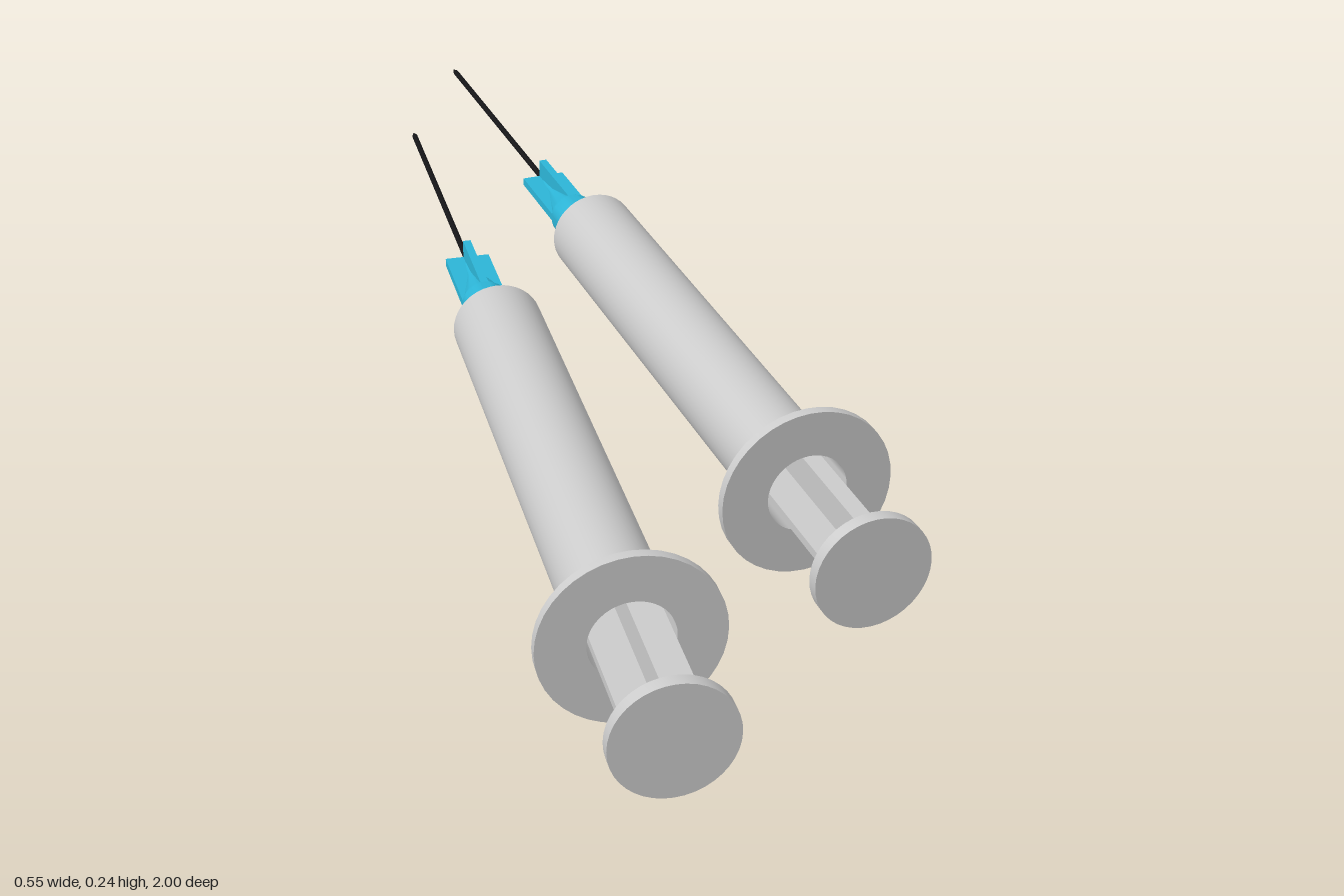
import * as THREE from 'three';
import { toCreasedNormals } from 'three/addons/utils/BufferGeometryUtils.js';

const plastic = new THREE.MeshStandardMaterial({ color: 0xcacaca });
plastic.name = 'grey plastic';
const hubBlue = new THREE.MeshStandardMaterial({ color: 0x2cb4d6 });
hubBlue.name = 'blue plastic';
const steel = new THREE.MeshStandardMaterial({ color: 0x141416 });
steel.name = 'dark steel';

function add(parent, name, geometry, material) {
  const mesh = new THREE.Mesh(geometry, material);
  mesh.name = name;
  parent.add(mesh);
  return mesh;
}

// Turned part along z; profile points are [radius, z], outer side running towards +z
function turned(points, segments = 40) {
  const g = new THREE.LatheGeometry(points.map(([r, z]) => new THREE.Vector2(r, z)), segments);
  g.rotateX(Math.PI / 2);
  return toCreasedNormals(g, 0.5);
}

// Box centred on the axis, spanning z0 to z1
function bar(w, h, z0, z1) {
  return new THREE.BoxGeometry(w, h, z1 - z0).translate(0, 0, (z0 + z1) / 2);
}

function createSyringe(name) {
  const syringe = new THREE.Group();
  syringe.name = name;

  // Hollow barrel with finger flange, open at the plunger end
  add(syringe, 'barrel', turned([
    [0, -0.02], [0.062, -0.02], [0.066, -0.015], [0.066, 0.785], [0.122, 0.785],
    [0.122, 0.799], [0.057, 0.799], [0.057, 0], [0, 0],
  ]), plastic);

  // Plunger: crossed ribs, thumb disc and piston
  const plunger = new THREE.Group();
  plunger.name = 'plunger';
  syringe.add(plunger);
  add(plunger, 'ribHorizontal', bar(0.104, 0.012, 0.06, 0.985), plastic);
  add(plunger, 'ribVertical', bar(0.012, 0.104, 0.06, 0.985), plastic);
  add(plunger, 'thumbDisc', turned([[0, 0.982], [0.081, 0.982], [0.081, 1], [0, 1]]), plastic);
  add(plunger, 'piston', turned([[0, 0.02], [0.056, 0.02], [0.056, 0.07], [0, 0.07]]), plastic);

  // Nozzle and needle sit slightly below the barrel axis
  const tip = new THREE.Group();
  tip.name = 'needleAssembly';
  tip.position.y = -0.013;
  syringe.add(tip);
  add(tip, 'nozzle', turned([[0, -0.06], [0.032, -0.06], [0.032, -0.015], [0, -0.015]]), plastic);
  add(tip, 'hub', turned([
    [0, -0.235], [0.009, -0.235], [0.013, -0.19], [0.03, -0.125], [0.036, -0.11],
    [0.038, -0.05], [0.051, -0.05], [0.051, -0.042], [0, -0.042],
  ], 32), hubBlue);
  add(tip, 'hubFinHorizontal', bar(0.068, 0.012, -0.255, -0.1), hubBlue);
  add(tip, 'hubFinVertical', bar(0.012, 0.068, -0.255, -0.1), hubBlue);
  add(tip, 'needle', turned([
    [0, -0.745], [0.0045, -0.73], [0.0045, -0.2], [0, -0.2],
  ], 12), steel);

  return syringe;
}

export function createModel() {
  const model = new THREE.Group();
  model.name = 'syringes';

  const straight = createSyringe('straightSyringe');
  straight.position.set(-0.154, 0.122, 0);

  const turnedOne = createSyringe('angledSyringe');
  turnedOne.position.set(0.055, 0.122, -0.261);
  turnedOne.rotation.y = 0.122;

  model.add(straight, turnedOne);
  return model;
}
